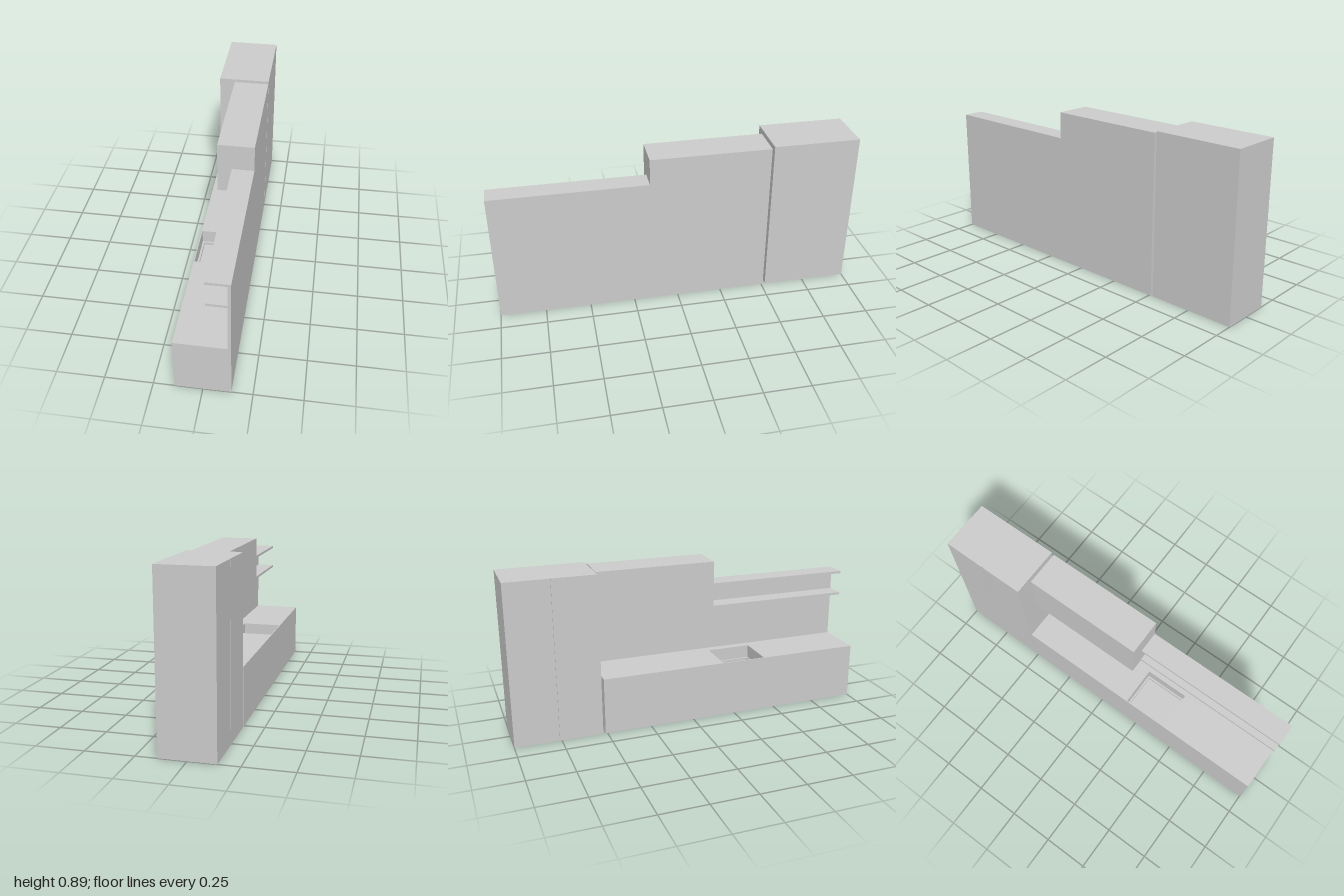
import * as THREE from 'three';

const material = new THREE.MeshStandardMaterial({ color: 0xcccccc, flatShading: true });

// Box given by its lower and upper limits on each axis
function block(name, [x0, x1], [y0, y1], [z0, z1]) {
  const mesh = new THREE.Mesh(new THREE.BoxGeometry(x1 - x0, y1 - y0, z1 - z0), material);
  mesh.position.set((x0 + x1) / 2, (y0 + y1) / 2, (z0 + z1) / 2);
  mesh.name = name;
  return mesh;
}

// Rectangle in plan; the shape's y is -z
const rect = (x0, x1, z0, z1) => [[x0, z0], [x0, z1], [x1, z1], [x1, z0]];
const plan = (points) => points.map(([x, z]) => new THREE.Vector2(x, -z));

// Footprint raised from y0 to y1, with an optional hole
function raise(name, outline, y0, y1, hole) {
  const shape = new THREE.Shape(plan(outline));
  if (hole) shape.holes.push(new THREE.Path(plan(hole)));
  const geometry = new THREE.ExtrudeGeometry(shape, { depth: y1 - y0, bevelEnabled: false });
  geometry.rotateX(-Math.PI / 2);
  const mesh = new THREE.Mesh(geometry, material);
  mesh.position.y = y0;
  mesh.name = name;
  return mesh;
}

export function createModel() {
  const group = new THREE.Group();
  group.name = 'kitchenUnit';
  const X = 0.142, back = 0.125, counterY = 0.314;
  const z0 = -0.51, z1 = 1, step = 0.15;

  // Base cabinet in layers, leaving a sink basin with a narrow inner ledge
  const base = new THREE.Group();
  base.name = 'baseCabinet';
  const footprint = rect(-X, X, z0, z1);
  base.add(
    block('cabinetBody', [-X, X], [0, 0.225], [z0, z1]),
    raise('sinkLedge', footprint, 0.225, 0.24, rect(-0.126, 0.07, 0.19, 0.42)),
    raise('countertop', footprint, 0.24, counterY, rect(-0.137, 0.08, 0.18, 0.43)),
  );
  group.add(base);

  // Back wall panel, taller behind the wall cabinet
  const profile = new THREE.Shape([
    [-z1, counterY], [-z0, counterY], [-z0, 0.878], [-step, 0.878], [-step, 0.733], [-z1, 0.733],
  ].map(([z, y]) => new THREE.Vector2(z, y)));
  const wallGeometry = new THREE.ExtrudeGeometry(profile, { depth: X - back, bevelEnabled: false });
  wallGeometry.rotateY(Math.PI / 2);
  const wall = new THREE.Mesh(wallGeometry, material);
  wall.position.x = back;
  wall.name = 'backPanel';
  group.add(wall);

  // Wall cabinet and the two open shelves beside it
  group.add(block('wallCabinet', [-0.054, back], [0.588, 0.878], [z0, step]));
  for (const [name, y] of [['lowerShelf', 0.588], ['upperShelf', 0.719]]) {
    group.add(block(name, [0.023, back], [y, y + 0.014], [step, z1]));
  }

  // Tall cabinet with a shallow groove between its two doors
  const mid = -0.7625, g = 0.003, depth = 0.006;
  group.add(raise('tallCabinet', [
    [-X, -1], [-X, mid - g], [-X + depth, mid - g], [-X + depth, mid + g], [-X, mid + g],
    [-X, -0.523], [X, -0.523], [X, -1],
  ], 0, 0.888));

  return group;
}
